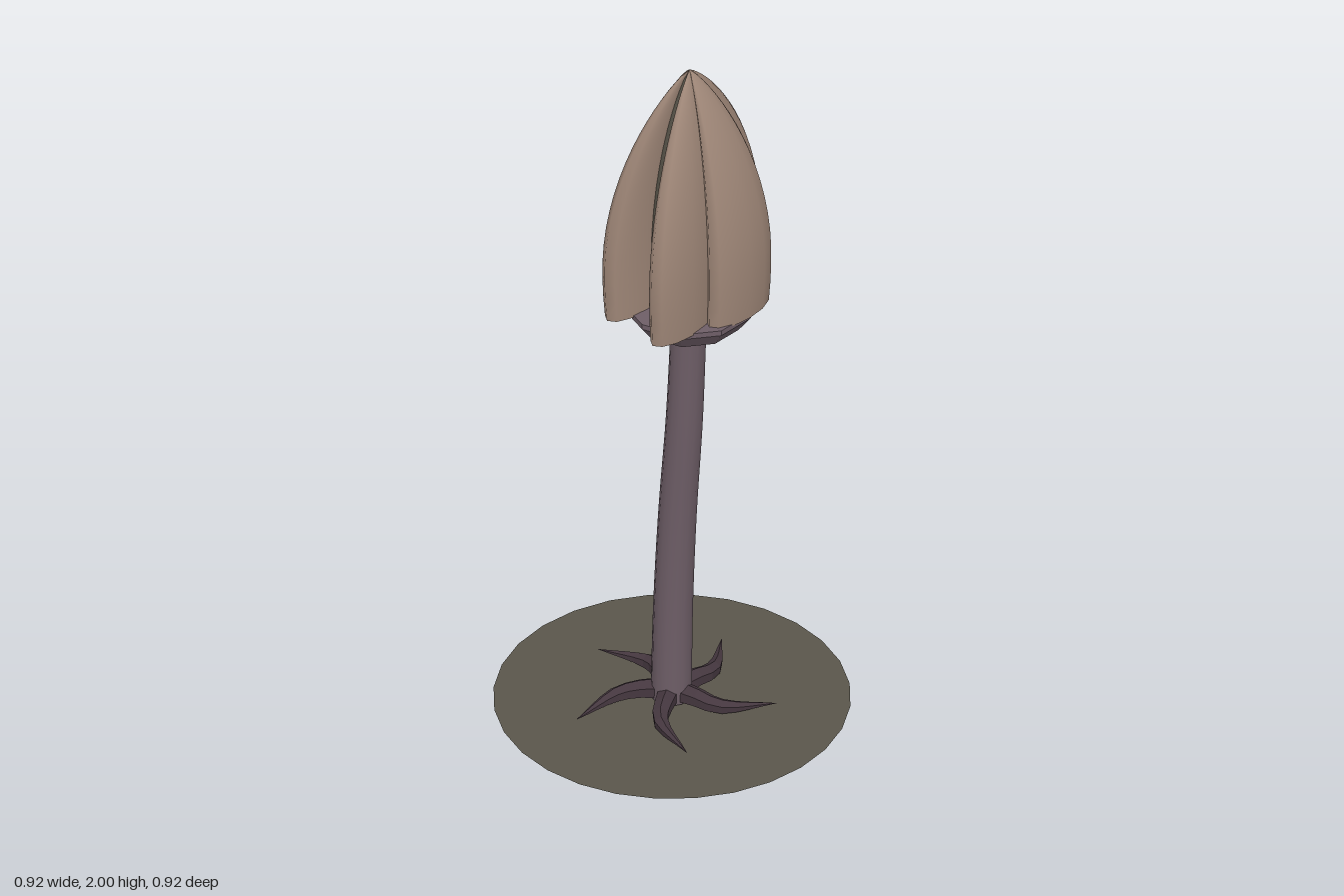
import * as THREE from 'three';

const mat = (name, color, side = THREE.FrontSide) => {
  const m = new THREE.MeshStandardMaterial({ color, side });
  m.name = name;
  return m;
};

const flat = (geo) => {
  const g = geo.toNonIndexed();
  g.computeVertexNormals();
  return g;
};

// Tube along a curve whose radius follows a rule
function taperedTube(curve, segs, sides, radiusAt) {
  const geo = new THREE.TubeGeometry(curve, segs, 1, sides);
  const pos = geo.attributes.position;
  const v = new THREE.Vector3();
  for (let i = 0; i <= segs; i++) {
    const c = curve.getPointAt(i / segs);
    for (let j = 0; j <= sides; j++) {
      const k = i * (sides + 1) + j;
      v.fromBufferAttribute(pos, k).sub(c).multiplyScalar(radiusAt(i / segs)).add(c);
      pos.setXYZ(k, v.x, v.y, v.z);
    }
  }
  return geo;
}

// Bud outline: 1 at the widest part, 0 at the tip
const BASE = 1.285, TIP = 2, WIDE = 1.43;
const budScale = (y) => {
  if (y < WIDE) return 1 - 0.03 * ((WIDE - y) / (WIDE - BASE)) ** 2;
  const t = Math.min(1, (y - WIDE) / (TIP - WIDE));
  return Math.pow(1 - t * t, 0.82);
};

// Petal: stacked ellipses drawn together towards the tip of the bud
function petalGeometry(cx, cz) {
  const sides = 12, steps = 20, rx = 0.044, rz = 0.11;
  const rings = [[BASE, 0], [BASE, 1], [BASE, 1]];
  for (let i = 1; i <= steps; i++) {
    rings.push([BASE + (TIP - BASE) * Math.sin((i / steps) * Math.PI / 2), 1]);
  }
  const pos = [], idx = [];
  rings.forEach(([y, w], i) => {
    const s = budScale(y);
    for (let j = 0; j < sides; j++) {
      const a = (j / sides) * Math.PI * 2;
      pos.push(s * (cx + w * rx * Math.cos(a)), y, s * (cz + w * rz * Math.sin(a)));
      if (i === rings.length - 1) continue;
      const p = i * sides + j, q = i * sides + (j + 1) % sides;
      idx.push(p, p + sides, q, q, p + sides, q + sides);
    }
  });
  const geo = new THREE.BufferGeometry();
  geo.setAttribute('position', new THREE.Float32BufferAttribute(pos, 3));
  geo.setIndex(idx);
  geo.computeVertexNormals();
  return geo;
}

export function createModel() {
  const model = new THREE.Group();
  const stemMat = mat('mauve stem', 0x6e5e67);
  const rootMat = mat('dark root', 0x45373f);
  const petalMat = mat('dusty petal', 0x9e8677);
  const mossMat = mat('olive grey', 0x5a564b, THREE.DoubleSide);

  const add = (parent, name, geo, material) => {
    const mesh = new THREE.Mesh(geo, material);
    mesh.name = name;
    parent.add(mesh);
    return mesh;
  };

  // Ground disc
  const disc = add(model, 'groundDisc', new THREE.CircleGeometry(0.46, 28), mossMat);
  disc.rotation.x = -Math.PI / 2;
  disc.position.y = 0.008;

  // Five hooked roots
  const roots = new THREE.Group();
  roots.name = 'roots';
  model.add(roots);
  for (let i = 0; i < 5; i++) {
    const at = (r, deg, y) => {
      const a = THREE.MathUtils.degToRad(38 + 72 * i + deg);
      return new THREE.Vector3(r * Math.cos(a), y, r * Math.sin(a));
    };
    const curve = new THREE.CatmullRomCurve3([
      at(0.01, 24, 0.033), at(0.07, 24, 0.036), at(0.14, 20, 0.027), at(0.272, 0, 0.02),
    ]);
    const radius = (t) => (t < 0.45 ? 0.031 - 0.02 * t : 0.022 * (1 - t) / 0.55 + 0.0005);
    add(roots, 'root', flat(taperedTube(curve, 8, 6, radius)), rootMat);
  }

  // Leaning stem
  const stemCurve = new THREE.CatmullRomCurve3(
    [[-0.003, 0.015], [0.004, 0.3], [0.02, 0.6], [0.044, 0.9], [0.06, 1.21]]
      .map(([x, y]) => new THREE.Vector3(x, y, 0)));
  add(model, 'stem', taperedTube(stemCurve, 20, 14, (t) => 0.053 - 0.007 * t), stemMat);

  // Flower head
  const head = new THREE.Group();
  head.name = 'flowerHead';
  head.position.x = 0.062;
  model.add(head);

  // Faceted cup with a flat lid
  const cup = [[0, 1.18], [0.06, 1.18], [0.14, 1.228], [0.175, 1.275], [0.175, 1.29], [0, 1.29]]
    .map(([r, y]) => new THREE.Vector2(r, y));
  add(head, 'cup', flat(new THREE.LatheGeometry(cup, 10)), stemMat);

  // Inner core
  const core = [];
  for (let i = 0; i <= 14; i++) {
    const y = BASE + (TIP - 0.015 - BASE) * Math.sin((i / 14) * Math.PI / 2);
    core.push(new THREE.Vector2(0.107 * budScale(y + (i === 14 ? 0.015 : 0)), y));
  }
  add(head, 'core', new THREE.LatheGeometry(core, 16), mossMat);

  // Five petals around the core
  for (let i = 0; i < 5; i++) {
    const a = (i / 5) * Math.PI * 2;
    add(head, 'petal', petalGeometry(0.142 * Math.sin(a), -0.145 * Math.cos(a)), petalMat);
  }
  return model;
}
